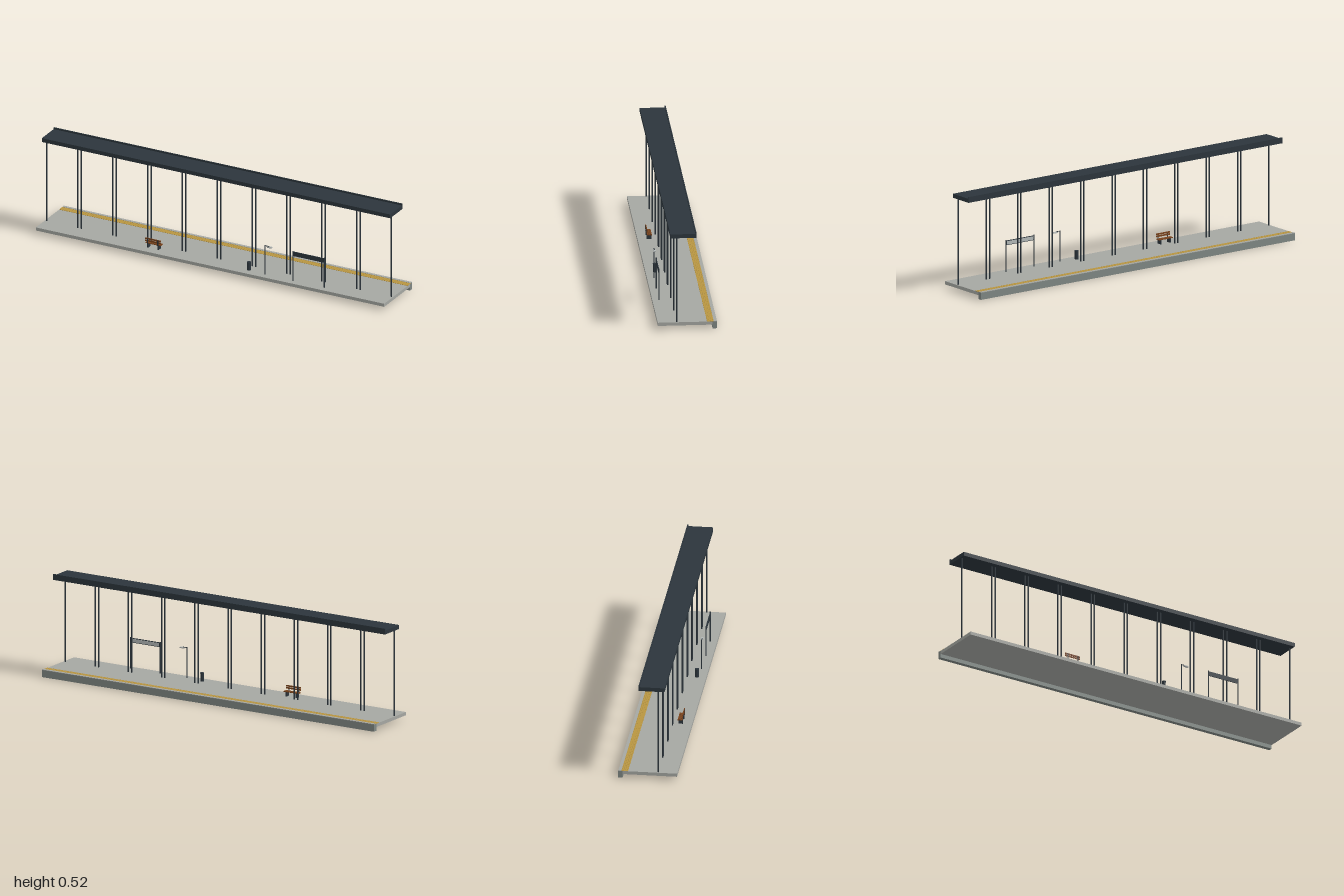
import * as THREE from 'three';
import { mergeGeometries } from 'three/addons/utils/BufferGeometryUtils.js';

function material(name, color) {
  const m = new THREE.MeshStandardMaterial({ color });
  m.name = name;
  return m;
}

export function createModel() {
  const concrete = material('concrete', 0xa5a7a2);
  const edgeStone = material('edge stone', 0x7f8783);
  const yellow = material('tactile yellow', 0xb8953f);
  const steel = material('dark steel', 0x2c353c);
  const wood = material('wood', 0x7a431c);
  const pale = material('pale panel', 0xb4b9b8);

  const model = new THREE.Group();
  model.name = 'stationPlatform';
  const group = (name) => {
    const g = new THREE.Group();
    g.name = name;
    model.add(g);
    return g;
  };
  const add = (parent, name, geometry, mat) => {
    const mesh = new THREE.Mesh(geometry, mat);
    mesh.name = name;
    parent.add(mesh);
    return mesh;
  };
  // Box given by its limits on each axis
  const box = (parent, name, mat, [x0, x1], [y0, y1], [z0, z1]) => {
    const g = new THREE.BoxGeometry(x1 - x0, y1 - y0, z1 - z0);
    g.translate((x0 + x1) / 2, (y0 + y1) / 2, (z0 + z1) / 2);
    return add(parent, name, g, mat);
  };
  // Upright round part
  const upright = (parent, name, mat, x, z, y0, y1, r, sides = 12) => {
    const g = new THREE.CylinderGeometry(r, r, y1 - y0, sides);
    g.translate(x, (y0 + y1) / 2, z);
    return add(parent, name, g, mat);
  };
  const floor = 0.038;

  // Platform slab, edge wall and coping
  const platform = group('platform');
  box(platform, 'slab', concrete, [-1, 1], [0.021, floor], [-0.128, 0.15]);
  box(platform, 'edgeWall', edgeStone, [-1, 1], [0.001, floor], [-0.15, -0.128]);
  box(platform, 'coping', concrete, [-1, 1], [floor, 0.0405], [-0.15, -0.134]);

  // Tactile warning strip with rows of studs
  box(platform, 'tactileStrip', yellow, [-1, 1], [floor, 0.0392], [-0.134, -0.1]);
  const studs = [];
  for (let row = 0; row < 4; row++) {
    for (let i = 0; i < 160; i++) {
      const stud = new THREE.CylinderGeometry(0.0016, 0.0025, 0.0016, 6);
      stud.translate(-0.99375 + i * 0.0125, 0.04, -0.1295 + row * 0.0083);
      studs.push(stud);
    }
  }
  add(platform, 'tactileStuds', mergeGeometries(studs), yellow);

  // Canopy with raised gutter lip, in ten bays with two posts each
  const canopy = group('canopy');
  box(canopy, 'roof', steel, [-1, 1], [0.487, 0.508], [-0.046, 0.086]);
  box(canopy, 'gutterLip', steel, [-1, 1], [0.508, 0.517], [-0.046, -0.041]);
  for (let bay = 0; bay < 10; bay++) {
    for (const side of [-1, 1]) {
      upright(canopy, 'post', steel, -0.9 + bay * 0.2 + side * 0.09, 0.0535, floor, 0.488, 0.0038);
    }
  }

  // Bench facing the track
  const bench = group('bench');
  for (const x of [-0.383, -0.323]) {
    box(bench, 'benchLeg', steel, [x - 0.003, x + 0.003], [floor, 0.061], [0.08, 0.104]);
    box(bench, 'backSupport', steel, [x - 0.003, x + 0.003], [0.061, 0.09], [0.104, 0.107]);
  }
  for (let i = 0; i < 3; i++) {
    const z = 0.078 + i * 0.0085;
    box(bench, 'seatSlat', wood, [-0.397, -0.309], [0.061, 0.065], [z, z + 0.0072]);
  }
  for (const y of [0.073, 0.084]) {
    box(bench, 'backSlat', wood, [-0.397, -0.309], [y, y + 0.008], [0.101, 0.104]);
  }

  // Litter bin
  const bin = group('litterBin');
  upright(bin, 'binBody', steel, 0.198, 0.103, floor, 0.079, 0.0095, 20);
  upright(bin, 'binRim', steel, 0.198, 0.103, 0.079, 0.083, 0.0102, 20);

  // Lamp on a pole with a side arm
  const lamp = group('lamp');
  upright(lamp, 'lampPole', steel, 0.296, 0.114, floor, 0.199, 0.0025);
  box(lamp, 'lampArm', steel, [0.296, 0.32], [0.196, 0.199], [0.1125, 0.1155]);
  box(lamp, 'lampHead', pale, [0.312, 0.337], [0.191, 0.1965], [0.108, 0.12]);

  // Sign board on two posts, pale face towards the track
  const sign = group('signBoard');
  for (const x of [0.459, 0.638]) {
    upright(sign, 'signPost', steel, x, 0.116, floor, 0.203, 0.003);
  }
  box(sign, 'signPanel', steel, [0.459, 0.638], [0.176, 0.2], [0.114, 0.118]);
  box(sign, 'signFace', pale, [0.464, 0.633], [0.179, 0.197], [0.1128, 0.114]);

  return model;
}
